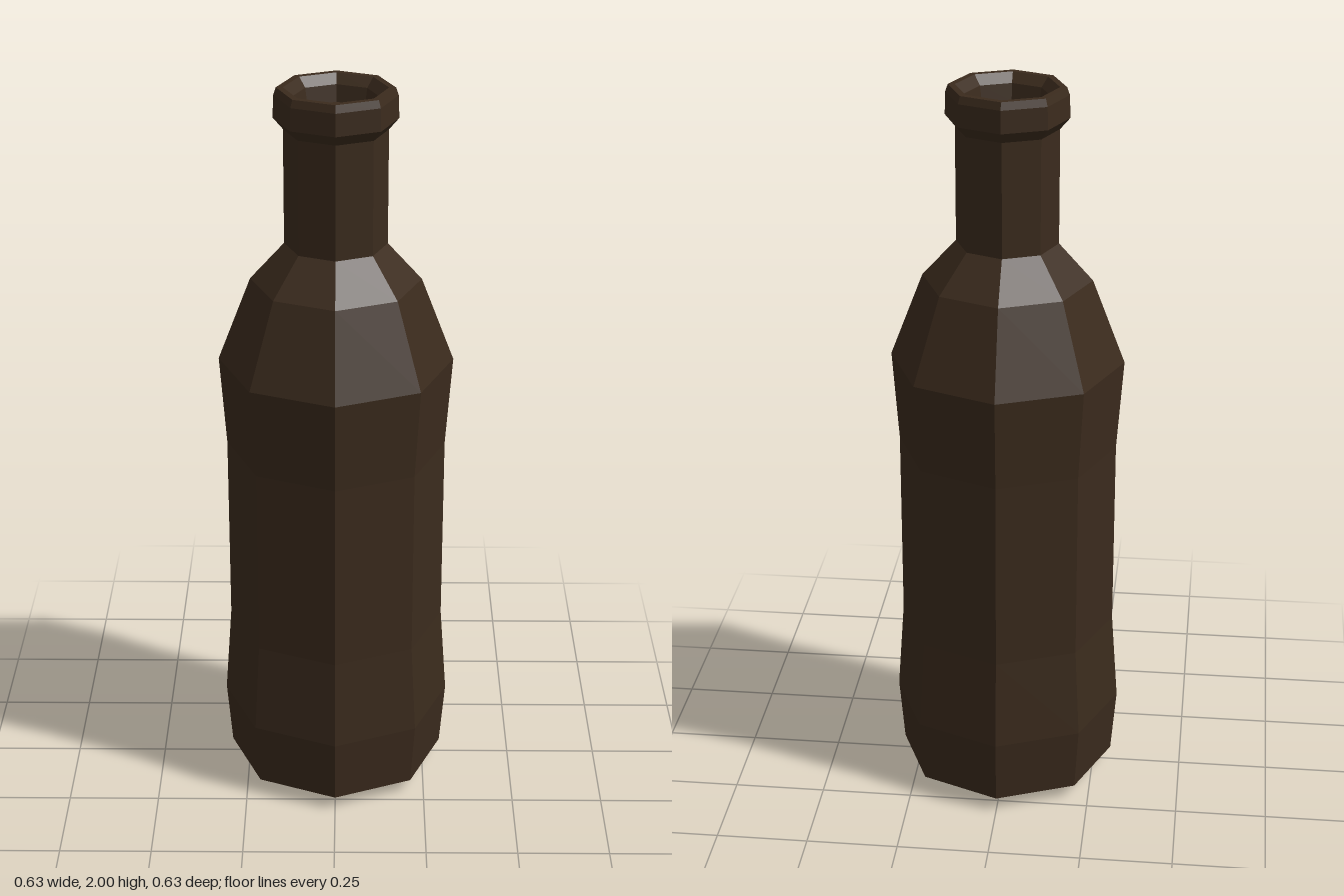
import * as THREE from 'three';

const SIDES = 8;

export function createModel() {
  const bottle = new THREE.Group();
  bottle.name = 'bottle';
  const glass = new THREE.MeshStandardMaterial({ color: 0x3b2b1d, flatShading: true });

  // Turns a [radius, height] profile into an eight-sided section
  const addSection = (name, profile) => {
    const points = profile.map(([r, y]) => new THREE.Vector2(r, y));
    const mesh = new THREE.Mesh(new THREE.LatheGeometry(points, SIDES), glass);
    mesh.name = name;
    bottle.add(mesh);
  };

  // Recessed underside and bevelled foot
  addSection('base', [[0, 0.1], [0.14, 0.1], [0.22, 0], [0.3, 0.04]]);
  // Slightly waisted body
  addSection('body', [[0.3, 0.04], [0.315, 0.22], [0.297, 0.47], [0.297, 1], [0.315, 1.25]]);
  addSection('shoulder', [[0.315, 1.25], [0.227, 1.48], [0.136, 1.58]]);
  addSection('neck', [[0.136, 1.58], [0.136, 1.89]]);
  // Flared lip with a shallow closed mouth
  addSection('lip', [[0.136, 1.89], [0.162, 1.92], [0.16, 1.98], [0.153, 2], [0.135, 2],
    [0.113, 1.975], [0.105, 1.93], [0, 1.93]]);

  return bottle;
}
